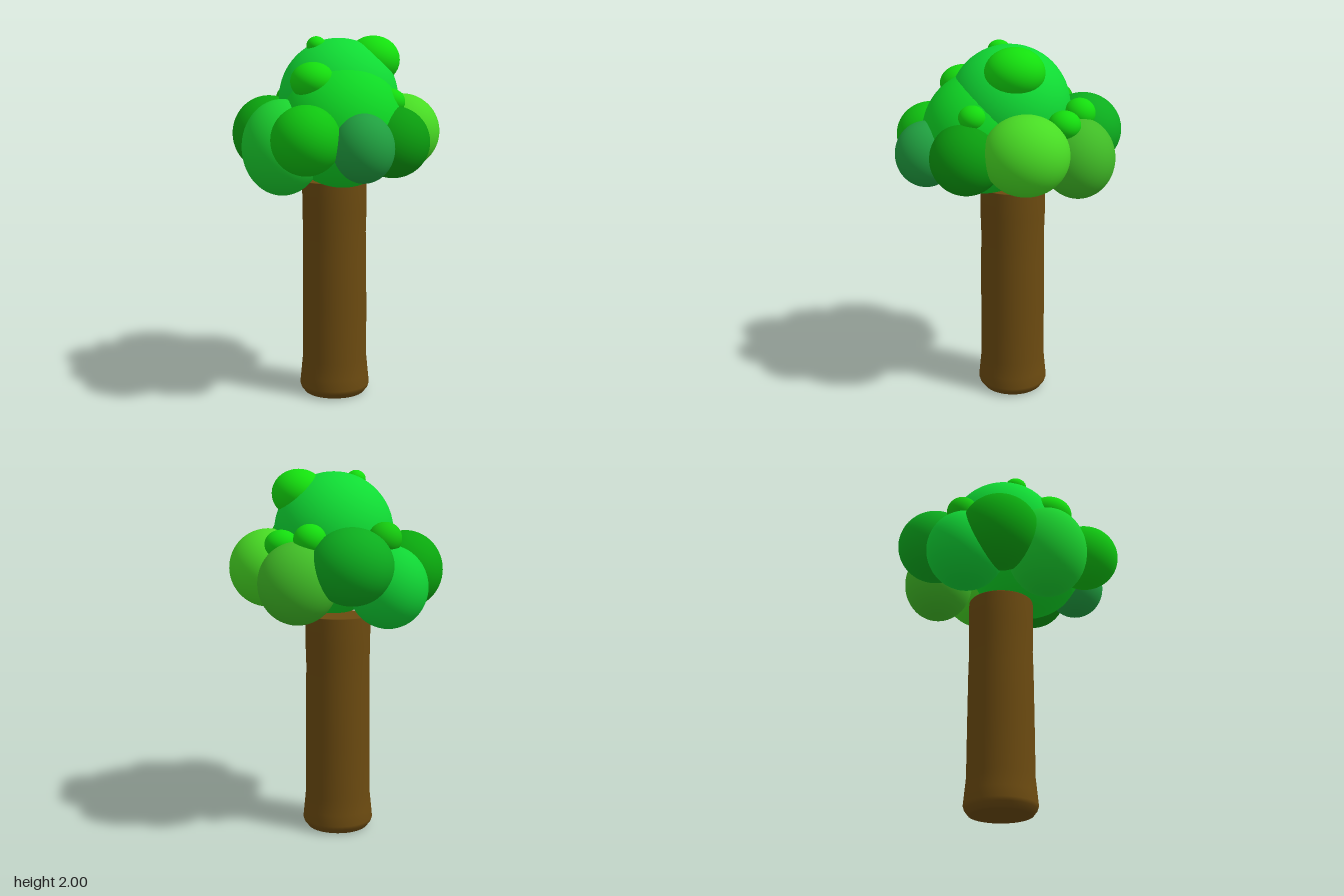
import * as THREE from 'three';

// Leaf clumps: name, centre, radii, colour
const clumps = [
  ['crownTop', [0, 1.66, 0], [0.325, 0.325, 0.325], 0x10dc34],
  ['crownCore', [0, 1.52, 0.14], [0.33, 0.33, 0.33], 0x0ed824],
  // ring of large clumps
  ['clumpBack', [-0.04, 1.51, -0.41], [0.215, 0.2, 0.21], 0x0cae1e],
  ['clumpBackLeft', [0.23, 1.42, -0.33], [0.207, 0.215, 0.195], 0x40bc26],
  ['clumpLeft', [0.36, 1.475, -0.035], [0.21, 0.21, 0.225], 0x48dc24],
  ['clumpFrontLeft', [0.25, 1.44, 0.26], [0.195, 0.19, 0.19], 0x0a9c0e],
  ['clumpFront', [0.058, 1.425, 0.455], [0.158, 0.177, 0.165], 0x20a040],
  ['clumpFrontRight', [-0.23, 1.465, 0.41], [0.18, 0.18, 0.19], 0x0fc410],
  ['clumpRight', [-0.325, 1.41, 0.155], [0.215, 0.255, 0.22], 0x1ad22e],
  ['clumpBackRight', [-0.37, 1.465, -0.125], [0.203, 0.21, 0.215], 0x0aa80e],
  ['clumpBackRightLow', [-0.25, 1.39, -0.285], [0.21, 0.22, 0.215], 0x10d434],
  // small accent tufts
  ['tuftTopLeft', [0.19, 1.868, 0], [0.145, 0.13, 0.157], 0x14e00e],
  ['tuftTopRight', [-0.127, 1.942, 0.04], [0.053, 0.05, 0.061], 0x14e00e],
  ['tuftFrontRight', [-0.17, 1.757, 0.23], [0.118, 0.1, 0.128], 0x14dc0e],
  ['tuftFrontLeft', [0.24, 1.65, 0.22], [0.08, 0.07, 0.08], 0x14dc0e],
  ['tuftLeft', [0.305, 1.615, -0.24], [0.087, 0.075, 0.085], 0x14dc0e],
  ['tuftBackLeft', [0.168, 1.645, -0.347], [0.085, 0.08, 0.083], 0x14dc0e],
  ['tuftBackRight', [-0.228, 1.645, -0.302], [0.088, 0.085, 0.088], 0x14c80e],
];

function makeTrunk() {
  // bevelled foot, flared base, nearly straight shaft
  const profile = [
    [0, 0], [0.155, 0], [0.17, 0.004], [0.19, 0.03], [0.196, 0.05], [0.19, 0.11],
    [0.181, 0.2], [0.18, 0.5], [0.178, 0.8], [0.175, 0.92], [0.179, 1.05],
    [0.179, 1.207], [0.177, 1.21], [0, 1.21],
  ].map(([r, y]) => new THREE.Vector2(r, y));
  const trunk = new THREE.Mesh(
    new THREE.LatheGeometry(profile, 48),
    new THREE.MeshStandardMaterial({ color: 0x6b4a10 })
  );
  trunk.name = 'trunk';
  trunk.position.set(-0.02, 0, -0.02);
  return trunk;
}

export function createModel() {
  const tree = new THREE.Group();
  tree.name = 'tree';
  tree.add(makeTrunk());

  // Foliage of overlapping squashed spheres
  const foliage = new THREE.Group();
  foliage.name = 'foliage';
  const sphere = new THREE.SphereGeometry(1, 48, 32);
  for (const [name, centre, radii, color] of clumps) {
    const clump = new THREE.Mesh(sphere, new THREE.MeshStandardMaterial({ color }));
    clump.name = name;
    clump.position.set(...centre);
    clump.scale.set(...radii);
    foliage.add(clump);
  }
  tree.add(foliage);
  return tree;
}
